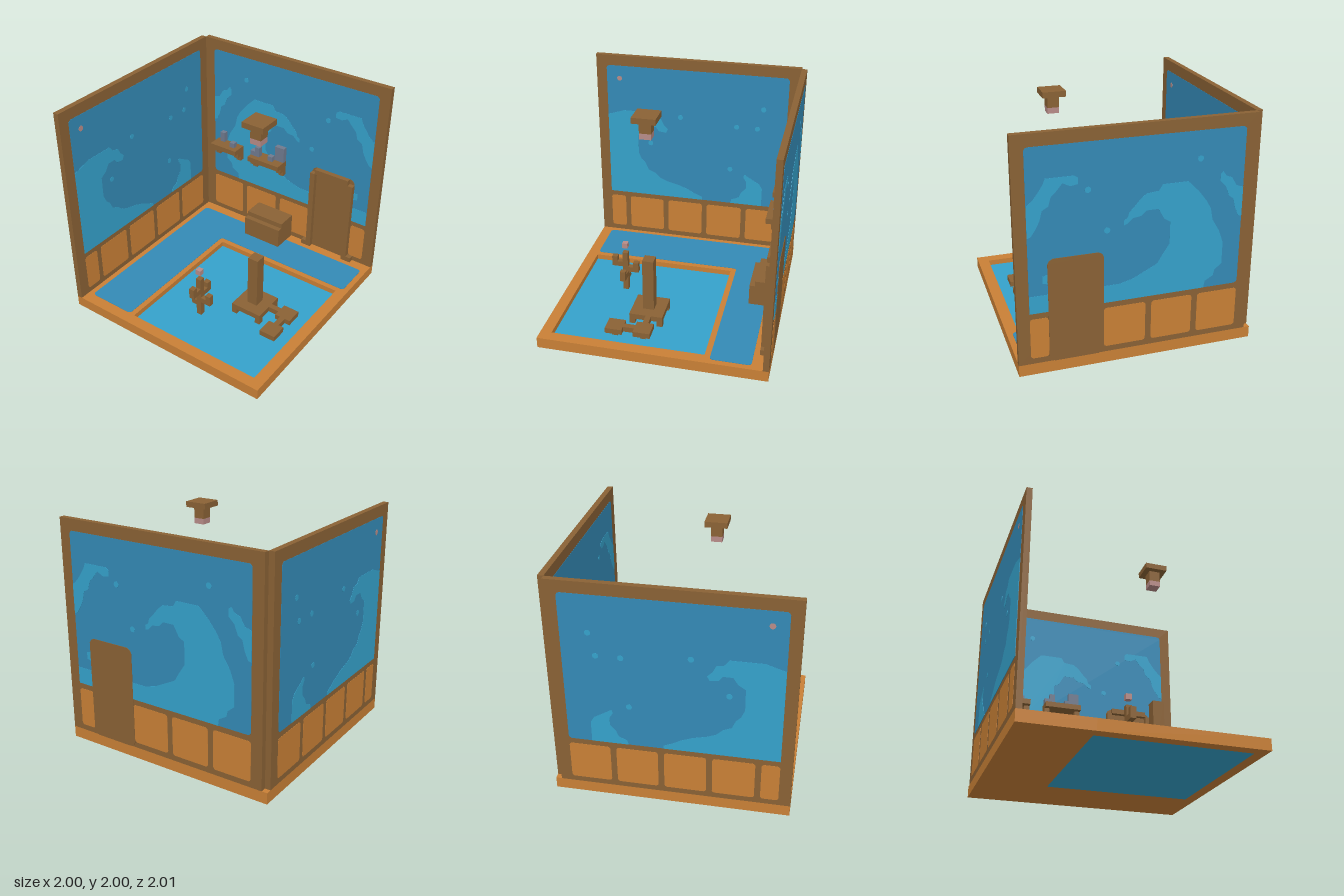
import * as THREE from 'three';

const mat = (name, color) => Object.assign(new THREE.MeshStandardMaterial({ color }), { name });
const WOOD = mat('brown wood', 0x8a6235);
const ORANGE = mat('orange wood', 0xc98036);
const BLUE = mat('deep blue', 0x348ab6);
const TEAL = mat('light blue', 0x35a2cb);
const GREY = mat('slate grey', 0x707a8e);
const PINK = mat('dusty pink', 0xb88c88);

// Box given by its minimum and maximum corners, in hundredths of a unit
function box(parent, name, material, [x0, x1], [y0, y1], [z0, z1]) {
  const g = new THREE.BoxGeometry((x1 - x0) / 100, (y1 - y0) / 100, (z1 - z0) / 100);
  const m = new THREE.Mesh(g, material);
  m.name = name;
  m.position.set((x0 + x1) / 200, (y0 + y1) / 200, (z0 + z1) / 200);
  parent.add(m);
  return m;
}

function group(parent, name) {
  const g = new THREE.Group();
  g.name = name;
  parent.add(g);
  return g;
}

// Closed outline with clipped corners (hundredths)
function outline(points, cut = 0) {
  const p = points.map(([x, y]) => new THREE.Vector2(x / 100, y / 100));
  if (!cut) return new THREE.Shape(p);
  const out = [];
  p.forEach((c, i) => {
    const prev = p[(i + p.length - 1) % p.length], next = p[(i + 1) % p.length];
    const a = c.clone().add(prev.clone().sub(c).setLength(cut));
    const b = c.clone().add(next.clone().sub(c).setLength(cut));
    out.push(a, a.clone().add(b).multiplyScalar(0.35).addScaledVector(c, 0.3), b);
  });
  return new THREE.Shape(out);
}

const rect = (x0, x1, y0, y1) => [[x0, y0], [x1, y0], [x1, y1], [x0, y1]];

const dot = ([x, y]) => {
  const s = new THREE.Shape();
  s.absarc(x / 100, y / 100, 0.025, 0, Math.PI * 2);
  return s;
};

// Inlay that runs through a wall and stands slightly proud on both sides
function inlay(parent, name, material, shapes, proud) {
  const depth = 0.05 + 2 * proud;
  const g = new THREE.ExtrudeGeometry(shapes, { depth, bevelEnabled: false, curveSegments: 5 });
  const m = new THREE.Mesh(g, material);
  m.name = name;
  m.position.z = -0.975 - depth / 2;
  parent.add(m);
}

// Wall facing local +z: frame, painted sea, waves and lower panels
function wall(parent, name, [u0, u1], [m0, m1], waves, dots, panels) {
  const w = group(parent, name);
  box(w, 'wallFrame', WOOD, [u0, u1], [10, 200], [-100, -95]);
  inlay(w, 'sea', BLUE, outline(rect(m0, m1, 55, 190), 0.025), 0.002);
  inlay(w, 'waves', TEAL, waves.map((p) => outline(p)), 0.004);
  inlay(w, 'spray', TEAL, dots.map(dot), 0.004);
  inlay(w, 'lowerPanels', ORANGE, panels.map(([a, b]) => outline(rect(a, b, 15, 50), 0.02)), 0.002);
  return w;
}

function buildFloor(root) {
  const f = group(root, 'floor');
  // Slab around the sunken pool
  box(f, 'floorLeft', ORANGE, [-100, -40], [0, 10], [-100, 100]);
  box(f, 'floorRight', ORANGE, [90, 100], [0, 10], [-100, 100]);
  box(f, 'floorBack', ORANGE, [-40, 90], [0, 10], [-100, -45]);
  box(f, 'floorFront', ORANGE, [-40, 90], [0, 10], [90, 100]);
  box(f, 'pool', TEAL, [-40, 90], [0, 5], [-45, 90]);
  // L-shaped carpet, drawn with y = -z and laid flat
  const s = outline([[-90, -90], [-45, -90], [-45, 50], [95, 50], [95, 85], [-90, 85]], 0.025);
  const rug = new THREE.Mesh(new THREE.ExtrudeGeometry(s, { depth: 0.003, bevelEnabled: false }), BLUE);
  rug.name = 'floorInlay';
  rug.rotation.x = -Math.PI / 2;
  rug.position.y = 0.1;
  f.add(rug);
}

function buildWalls(root) {
  const back = wall(root, 'backWall', [-95, 100], [-85, 90], [
    [[-55, 55], [-56, 61], [-63, 65], [-64, 70], [-70, 75], [-70, 94], [-66, 105], [-60, 115], [-58, 125],
      [-54, 132], [-47, 141], [-43, 145], [-38, 150], [-17, 150], [-14, 145], [-4, 144], [1, 140], [6, 134],
      [10, 130], [11, 126], [14, 124], [14, 120], [11, 121], [7, 125], [0, 126], [-4, 130], [-14, 130],
      [-19, 121], [-24, 118], [-24, 99], [-18, 90], [-14, 83], [-2, 77], [6, 73], [17, 70], [90, 70], [90, 55]],
    [[-85, 115], [-85, 140], [-79, 142], [-75, 149], [-70, 151], [-67, 155], [-65, 153], [-65, 147], [-70, 142],
      [-73, 134], [-77, 131], [-79, 123], [-82, 116]],
    [[50, 158], [50, 163], [53, 165], [75, 165], [77, 160], [81, 154], [84, 150], [88, 146], [90, 145], [90, 119],
      [87, 120], [83, 126], [80, 132], [78, 140], [73, 143], [71, 150], [66, 155], [62, 160], [56, 157]],
    [[75, 79], [79, 80], [79, 86], [75, 87]],
  ], [[-47.5, 167.5], [42.5, 152.5], [27.5, 117.5]], [[-85, -50], [-45, -10], [-5, 30], [75, 90]]);
  // Door leaf set in the wall, with frame posts, lintel and feet
  const door = group(back, 'door');
  inlay(door, 'doorLeaf', WOOD, [outline(rect(30, 75, 10, 100), 0.045)], 0.006);
  for (const [a, b, c, d] of [[30, 35, 25, 35], [70, 75, 70, 80]]) {
    box(door, 'doorPost', WOOD, [a, b], [15, 95], [-95, -90]);
    box(door, 'doorFoot', WOOD, [c, d], [10, 15], [-95, -90]);
  }
  box(door, 'doorLintel', WOOD, [35, 70], [95, 100], [-95, -90]);

  // Side wall is built facing front, then turned to face right
  const side = wall(root, 'leftWall', [-100, 95], [-90, 85], [
    [[-90, 55], [-90, 140], [-86, 141], [-74, 145], [-47, 145], [-43, 140], [-37, 139], [-34, 133], [-30, 129],
      [-32, 125], [-39, 126], [-42, 130], [-50, 130], [-54, 124], [-60, 120], [-60, 101], [-57, 94], [-53, 90],
      [-50, 83], [-43, 80], [-38, 75], [-31, 72], [-19, 69], [-9, 65], [-2, 61], [5, 58], [5, 55]],
    [[34, 55], [35, 59], [42, 62], [44, 67], [49, 73], [49, 80], [46, 85], [47, 88], [55, 83], [62, 79],
      [65, 74], [65, 55]],
  ], [[-17.5, 142.5], [62.5, 157.5], [37.5, 137.5], [57.5, 137.5], [-47.5, 112.5], [32.5, 92.5]],
  [[-90, -75], [-70, -35], [-30, 5], [10, 45], [50, 85]]);
  inlay(side, 'pinkSpot', PINK, [dot([-77.5, 177.5])], 0.004);
  side.rotation.y = Math.PI / 2;
}

function buildShelves(root) {
  const shelf = (x0, x1, items) => {
    const s = group(root, 'shelf');
    box(s, 'shelfBoard', WOOD, [x0, x1], [90, 95], [-95, -80]);
    for (const b of [x0, x1 - 5]) {
      box(s, 'bracketTop', WOOD, [b, b + 5], [85, 90], [-95, -85]);
      box(s, 'bracketBottom', WOOD, [b, b + 5], [80, 85], [-95, -90]);
    }
    for (const [x, w, h, z] of items) box(s, 'ornament', GREY, [x, x + w], [95, 95 + h], [z, z + 5]);
  };
  shelf(-80, -50, [[-75, 5, 10, -95], [-60, 5, 5, -90]]);
  shelf(-35, 0, [[-35, 5, 5, -90], [-30, 5, 10, -90], [-15, 5, 5, -90], [-10, 10, 15, -95]]);
}

function buildFurniture(root) {
  const chest = group(root, 'chest');
  box(chest, 'chestBody', WOOD, [-30, 10], [10, 30], [-95, -70]);
  box(chest, 'chestLid', WOOD, [-30, 10], [30, 35], [-95, -75]);

  // Pedestal on a four-legged plate
  const p = group(root, 'pedestal');
  box(p, 'pedestalPlate', WOOD, [25, 55], [10, 15], [0, 30]);
  box(p, 'pedestalColumn', WOOD, [35, 45], [15, 65], [10, 20]);
  for (const x of [25, 50]) for (const z of [0, 25]) box(p, 'pedestalLeg', WOOD, [x, x + 5], [5, 10], [z, z + 5]);

  // Linked side steps
  const s = group(root, 'sideSteps');
  box(s, 'linkBar', WOOD, [55, 65], [10, 15], [10, 15]);
  box(s, 'linkBar', WOOD, [70, 75], [10, 15], [20, 30]);
  for (const z of [5, 30]) {
    box(s, 'step', WOOD, [65, 80], [10, 15], [z, z + 15]);
    box(s, 'stepLeg', WOOD, [70, 75], [5, 10], [z + 5, z + 10]);
  }

  // Branching stand with a bud floating above it
  const b = group(root, 'branchStand');
  box(b, 'trunk', WOOD, [0, 5], [5, 45], [45, 50]);
  box(b, 'leftBranch', WOOD, [5, 15], [20, 25], [45, 50]);
  box(b, 'leftBranchTip', WOOD, [10, 15], [25, 30], [45, 50]);
  box(b, 'rightBranch', WOOD, [-5, 0], [15, 20], [45, 50]);
  box(b, 'frontBranch', WOOD, [0, 5], [30, 35], [50, 60]);
  box(b, 'frontBranchTip', WOOD, [0, 5], [35, 40], [55, 60]);
  box(b, 'backBranch', WOOD, [0, 5], [25, 30], [35, 45]);
  box(b, 'backBranchTip', WOOD, [0, 5], [30, 35], [35, 40]);
  box(b, 'bud', PINK, [0, 5], [50, 55], [45, 50]);

  // Ceiling lamp above the pedestal
  const l = group(root, 'ceilingLamp');
  box(l, 'lampPlate', WOOD, [30, 50], [195, 200], [5, 25]);
  box(l, 'lampStem', WOOD, [35, 45], [185, 195], [10, 20]);
  box(l, 'lampBulb', PINK, [35, 45], [180, 185], [10, 20]);
}

export function createModel() {
  const root = new THREE.Group();
  root.name = 'room';
  buildFloor(root);
  buildWalls(root);
  buildShelves(root);
  buildFurniture(root);
  return root;
}
